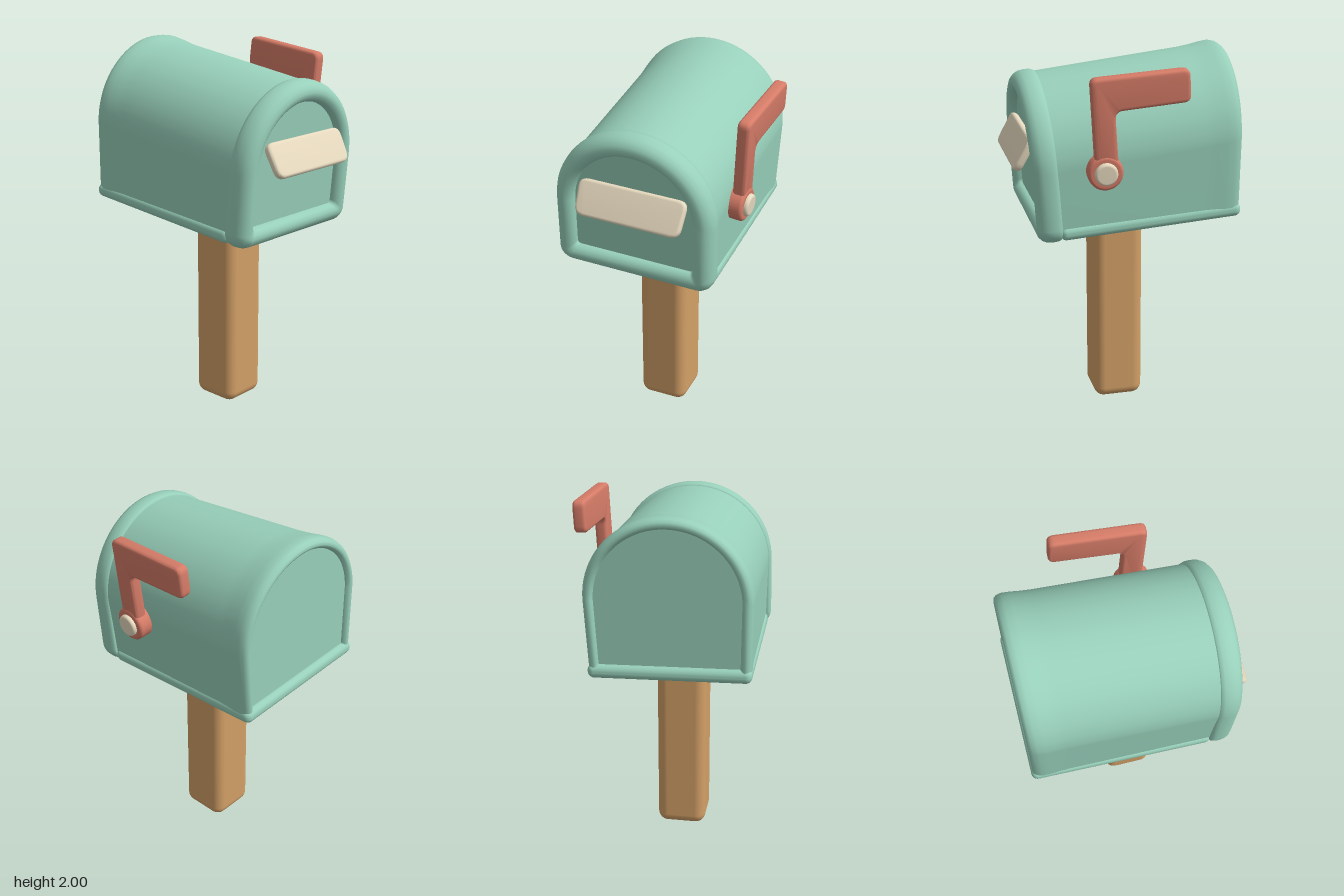
import * as THREE from 'three';
import { toCreasedNormals } from 'three/addons/utils/BufferGeometryUtils.js';
import { RoundedBoxGeometry } from 'three/addons/geometries/RoundedBoxGeometry.js';

const material = (name, color) => {
  const m = new THREE.MeshStandardMaterial({ color });
  m.name = name;
  return m;
};

function addMesh(parent, name, geometry, mat, x = 0, y = 0, z = 0) {
  const mesh = new THREE.Mesh(geometry, mat);
  mesh.name = name;
  mesh.position.set(x, y, z);
  parent.add(mesh);
  return mesh;
}

// Arched outline: flat floor, rounded bottom corners, straight sides, half-round top.
// taper narrows the sides towards the floor.
function arch(halfWidth, bottom, top, radius, inset = 0, taper = 0) {
  const w = halfWidth - inset, y0 = bottom + inset, y1 = top - inset;
  const r = Math.max(0.02, radius - inset);
  const points = [];
  const arc = (cx, cy, rad, from, to, n) => {
    for (let i = 0; i <= n; i++) {
      const a = Math.PI * (from + (to - from) * i / n);
      const y = cy + rad * Math.sin(a);
      const narrow = 1 - taper * Math.max(0, 1 - y / 0.4);
      points.push(new THREE.Vector2((cx + rad * Math.cos(a)) * narrow, y));
    }
  };
  arc(w - r, y0 + r, r, -0.5, 0, 6);
  arc(0, y1 - w, w, 0, 1, 40);
  arc(r - w, y0 + r, r, 1, 1.5, 6);
  return points;
}

// Skin through arched outlines placed along z; lean slides a ring in z with height.
function loft(rings) {
  const positions = [], index = [], n = rings[0].points.length;
  rings.forEach(({ z, points, lean = 0 }) => points.forEach(p => positions.push(p.x, p.y, z + lean * p.y)));
  for (let i = 0; i < rings.length - 1; i++) {
    for (let j = 0; j < n; j++) {
      const a = i * n + j, b = i * n + (j + 1) % n;
      index.push(a, b, b + n, a, b + n, a + n);
    }
  }
  const g = new THREE.BufferGeometry();
  g.setAttribute('position', new THREE.Float32BufferAttribute(positions, 3));
  g.setIndex(index);
  g.computeVertexNormals();
  return g;
}

// Polygon with softened corners, extruded as a bevelled plate centred on z = 0.
function plate(corners, radius, thickness, bevel) {
  const pts = corners.map(([x, y]) => new THREE.Vector2(x, y));
  const shape = new THREE.Shape();
  pts.forEach((p, i) => {
    const prev = pts[(i + pts.length - 1) % pts.length], next = pts[(i + 1) % pts.length];
    const a = p.clone().add(prev.clone().sub(p).setLength(radius));
    const b = p.clone().add(next.clone().sub(p).setLength(radius));
    if (i === 0) shape.moveTo(a.x, a.y); else shape.lineTo(a.x, a.y);
    shape.quadraticCurveTo(p.x, p.y, b.x, b.y);
  });
  shape.closePath();
  const g = new THREE.ExtrudeGeometry(shape, {
    depth: thickness - 2 * bevel, bevelEnabled: true, bevelThickness: bevel,
    bevelSize: bevel, bevelOffset: -bevel, bevelSegments: 4, curveSegments: 6,
  });
  g.translate(0, 0, bevel - thickness / 2);
  return toCreasedNormals(g, 0.7);
}

// Cylinder with a softened outer end, lying along +x.
function button(radius, length, soft) {
  const profile = [new THREE.Vector2(radius, 0)];
  for (let i = 0; i <= 5; i++) {
    const a = i / 5 * Math.PI / 2;
    profile.push(new THREE.Vector2(radius - soft + soft * Math.cos(a), length - soft + soft * Math.sin(a)));
  }
  profile.push(new THREE.Vector2(0, length));
  return new THREE.LatheGeometry(profile, 32).rotateZ(-Math.PI / 2);
}

export function createModel() {
  const teal = material('teal paint', 0x98d0bb);
  const wood = material('post wood', 0xd3a067);
  const red = material('flag red', 0xd67c68);
  const cream = material('cream', 0xe9dcc1);

  const model = new THREE.Group();
  model.name = 'mailbox';
  const yaw = 1.2;

  // Post
  const post = addMesh(model, 'post', new RoundedBoxGeometry(0.274, 1.17, 0.274, 6, 0.058), wood, 0.029, 0.585, 0.018);
  post.rotation.y = yaw;

  // Box, turned and tipped towards its door
  const box = new THREE.Group();
  box.name = 'box';
  box.position.set(-0.028, 1.11, 0.005);
  box.rotation.set(0, yaw, -0.072, 'ZYX');
  model.add(box);

  // Body shell: z, inset, top height; the back leans outwards with height
  const backLean = -0.06;
  const bodyRings = [
    [-0.495, 0.062, 0.855], [-0.515, 0.058, 0.855], [-0.53, 0.048, 0.855], [-0.536, 0.036, 0.855],
    [-0.532, 0.02, 0.855], [-0.517, 0.007, 0.855], [-0.49, 0, 0.855], [-0.45, 0, 0.851],
    [-0.4, 0.003, 0.845], [-0.34, 0.005, 0.84], [0, 0.007, 0.824], [0.44, 0.01, 0.805],
  ];
  addMesh(box, 'body', loft(bodyRings.map(([z, inset, top]) => ({
    z, points: arch(0.435, 0, top, 0.05, inset, 0.035), lean: backLean * Math.min(1, Math.max(0, -z / 0.45)),
  }))), teal);

  // Back panel
  const backShape = new THREE.Shape(arch(0.435, 0, 0.855, 0.05, 0.055, 0.035));
  const backPanel = addMesh(box, 'backPanel', new THREE.ShapeGeometry(backShape).rotateY(Math.PI), teal, 0, 0, -0.512);
  backPanel.rotation.x = backLean;

  // Floor with a rounded lip along the sides and back
  addMesh(box, 'floor', new RoundedBoxGeometry(0.85, 0.075, 0.98, 4, 0.034), teal, 0, 0.032, -0.056);

  // Front rim: z, inset
  const rimRings = [
    [0.422, 0.06], [0.422, 0.018], [0.429, 0.007], [0.447, 0.001], [0.472, 0], [0.502, 0.004],
    [0.526, 0.016], [0.543, 0.035], [0.551, 0.058], [0.547, 0.08], [0.534, 0.098], [0.515, 0.108], [0.48, 0.11],
  ];
  addMesh(box, 'frontRim', loft(rimRings.map(([z, inset]) => (
    { z, points: arch(0.438, -0.018, 0.81, 0.085, inset) }))), teal);

  // Door and its slanted pull
  const doorShape = new THREE.Shape(arch(0.438, -0.018, 0.81, 0.085, 0.1));
  addMesh(box, 'door', new THREE.ShapeGeometry(doorShape), teal, 0, 0, 0.502);
  const pull = addMesh(box, 'doorPull',
    plate([[-0.285, -0.095], [0.285, -0.095], [0.295, 0.095], [-0.295, 0.095]], 0.05, 0.042, 0.015),
    cream, 0.01, 0.443, 0.566);
  pull.rotation.x = -0.57;

  // Signal flag on the left side, leaning slightly outwards
  const flag = new THREE.Group();
  flag.name = 'flag';
  flag.position.set(0.46, 0.36, 0.19);
  flag.rotation.set(0, -0.05, -0.035);
  box.add(flag);
  const arm = addMesh(flag, 'flagArm', plate([
    [-0.05, -0.03], [0.07, -0.03], [0.067, 0.315], [0.455, 0.325], [0.455, 0.496], [-0.05, 0.492],
  ], 0.038, 0.068, 0.018), red);
  arm.rotation.y = Math.PI / 2;
  addMesh(flag, 'flagHub', button(0.092, 0.094, 0.018), red, -0.056);
  addMesh(flag, 'flagKnob', button(0.06, 0.04, 0.015), cream, 0.02);

  return model;
}
